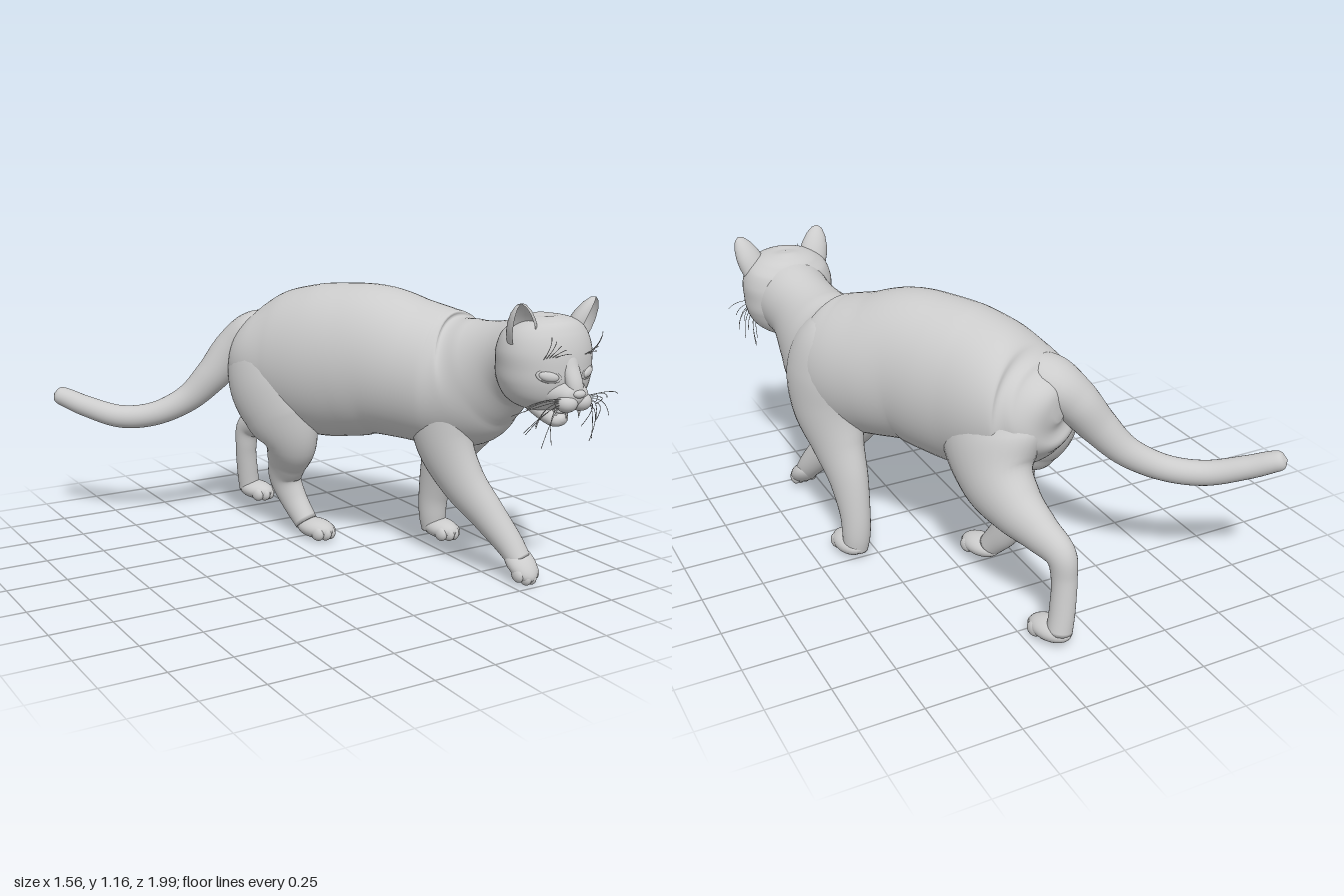
import * as THREE from 'three';

const V = (x, y, z) => new THREE.Vector3(x, y, z);
const UP = V(0, 1, 0);
const HEAD_X = 0.562;

// Smooth skin over elliptical stations [x, y, z, side radius, other radius]
function loft(stations, ref, rings = 64, sides = 40) {
  const path = new THREE.CatmullRomCurve3(stations.map(s => V(s[0], s[1], s[2])), false, 'catmullrom', 0.5);
  const radii = new THREE.CatmullRomCurve3(stations.map(s => V(s[3], s[4], 0)), false, 'catmullrom', 0.5);
  const pos = [], idx = [];
  for (let i = 0; i <= rings; i++) {
    const k = i / rings, c = path.getPoint(k), r = radii.getPoint(k), t = path.getTangent(k);
    const s = ref ? ref.clone().addScaledVector(t, -ref.dot(t)) : UP.clone().cross(t);
    s.normalize();
    const u = t.clone().cross(s);
    for (let j = 0; j < sides; j++) {
      const a = (j / sides) * Math.PI * 2;
      const p = c.clone().addScaledVector(s, Math.cos(a) * r.x).addScaledVector(u, Math.sin(a) * r.y);
      pos.push(p.x, p.y, p.z);
      const n = (j + 1) % sides, q = i * sides;
      if (i < rings) idx.push(q + j, q + n, q + sides + n, q + j, q + sides + n, q + sides + j);
    }
  }
  // end caps
  const first = stations[0], last = stations[stations.length - 1], c0 = pos.length / 3;
  pos.push(first[0], first[1], first[2], last[0], last[1], last[2]);
  for (let j = 0; j < sides; j++) {
    const n = (j + 1) % sides, q = rings * sides;
    idx.push(c0, n, j, c0 + 1, q + j, q + n);
  }
  const g = new THREE.BufferGeometry();
  g.setAttribute('position', new THREE.Float32BufferAttribute(pos, 3));
  g.setIndex(idx);
  g.computeVertexNormals();
  return g;
}

export function createModel() {
  const model = new THREE.Group();
  model.name = 'bigCat';
  const skin = new THREE.MeshStandardMaterial({ color: 0xcccccc, roughness: 0.8 });
  const thin = new THREE.MeshStandardMaterial({ color: 0xcccccc, roughness: 0.8, side: THREE.DoubleSide });

  const add = (name, geometry, parent = model, material = skin) => {
    const m = new THREE.Mesh(geometry, material);
    m.name = name;
    parent.add(m);
    return m;
  };
  const ball = (name, parent, p, r, detail = 24) => {
    const m = add(name, new THREE.SphereGeometry(1, detail, Math.round(detail * 0.7)), parent);
    m.position.set(...p);
    m.scale.set(...r);
    return m;
  };

  // Trunk and neck, from rump to skull
  add('body', loft([
    [0.0, 0.80, -0.60, 0.03, 0.04], [0.01, 0.80, -0.575, 0.12, 0.12],
    [0.025, 0.79, -0.53, 0.19, 0.18], [0.05, 0.78, -0.46, 0.232, 0.24],
    [0.105, 0.78, -0.36, 0.25, 0.295], [0.17, 0.785, -0.22, 0.255, 0.325],
    [0.24, 0.80, -0.10, 0.255, 0.325], [0.31, 0.81, 0.01, 0.25, 0.315],
    [0.40, 0.785, 0.13, 0.25, 0.295], [0.475, 0.765, 0.25, 0.24, 0.285],
    [0.515, 0.775, 0.36, 0.21, 0.27], [0.535, 0.82, 0.46, 0.178, 0.222],
    [0.55, 0.872, 0.57, 0.15, 0.172], [0.56, 0.90, 0.66, 0.153, 0.163],
    [0.562, 0.91, 0.73, 0.168, 0.165], [0.562, 0.92, 0.78, 0.13, 0.13],
  ], null, 110, 56));

  // Tail sweeping down and out to the right
  add('tail', loft([
    [0.05, 0.90, -0.38, 0.07, 0.08], [-0.02, 0.875, -0.48, 0.115, 0.1], [-0.10, 0.80, -0.54, 0.095, 0.09],
    [-0.185, 0.69, -0.58, 0.073, 0.075],
    [-0.28, 0.585, -0.635, 0.057, 0.06], [-0.41, 0.515, -0.705, 0.051, 0.052], [-0.54, 0.50, -0.79, 0.049, 0.05],
    [-0.66, 0.54, -0.885, 0.047, 0.046], [-0.73, 0.575, -0.945, 0.044, 0.042],
    [-0.76, 0.587, -0.972, 0.034, 0.034], [-0.772, 0.593, -0.983, 0.004, 0.004],
  ], null, 76, 28));

  // Legs: shoulder or hip down to the ankle
  const across = V(0.88, 0, -0.47), nearlyX = V(0.98, 0, -0.2);
  const legs = {
    leftFrontLeg: [across, [
      [0.51, 0.99, 0.19, 0.05, 0.07], [0.55, 0.89, 0.205, 0.115, 0.165], [0.587, 0.75, 0.22, 0.128, 0.2],
      [0.605, 0.61, 0.205, 0.11, 0.178], [0.597, 0.47, 0.145, 0.087, 0.127], [0.585, 0.34, 0.08, 0.07, 0.092],
      [0.58, 0.20, 0.038, 0.058, 0.068], [0.582, 0.10, 0.027, 0.055, 0.06], [0.588, 0.03, 0.03, 0.048, 0.053]]],
    rightFrontLeg: [nearlyX, [
      [0.46, 0.97, 0.24, 0.05, 0.06], [0.435, 0.86, 0.27, 0.112, 0.14], [0.418, 0.70, 0.31, 0.108, 0.165],
      [0.407, 0.53, 0.345, 0.092, 0.138], [0.445, 0.375, 0.425, 0.08, 0.102], [0.505, 0.25, 0.52, 0.068, 0.075],
      [0.55, 0.15, 0.60, 0.058, 0.058], [0.572, 0.08, 0.655, 0.05, 0.045]]],
    leftHindLeg: [across, [
      [0.12, 0.95, -0.36, 0.05, 0.07], [0.16, 0.83, -0.39, 0.125, 0.18], [0.193, 0.67, -0.43, 0.148, 0.215],
      [0.21, 0.54, -0.51, 0.125, 0.165], [0.19, 0.46, -0.62, 0.10, 0.118], [0.155, 0.405, -0.74, 0.072, 0.082],
      [0.125, 0.357, -0.84, 0.055, 0.062], [0.118, 0.26, -0.862, 0.047, 0.05],
      [0.13, 0.14, -0.875, 0.047, 0.05], [0.145, 0.045, -0.882, 0.05, 0.05]]],
    rightHindLeg: [across, [
      [0.05, 0.95, -0.36, 0.05, 0.06], [0.005, 0.84, -0.37, 0.13, 0.18], [-0.02, 0.70, -0.34, 0.138, 0.205],
      [-0.005, 0.56, -0.28, 0.12, 0.18], [0.02, 0.44, -0.255, 0.09, 0.132], [0.04, 0.33, -0.315, 0.063, 0.095],
      [0.053, 0.245, -0.352, 0.053, 0.078], [0.075, 0.155, -0.318, 0.049, 0.064], [0.10, 0.06, -0.245, 0.05, 0.05]]],
  };
  for (const [name, [ref, stations]] of Object.entries(legs)) add(name, loft(stations, ref, 64, 32));

  // Paws with four soft toes each: position, yaw, pitch
  const paws = {
    leftFrontPaw: [0.598, 0.044, 0.07, 0.1, 0],
    rightFrontPaw: [0.572, 0.075, 0.66, 0, 0.62],
    leftHindPaw: [0.16, 0.044, -0.84, 0.3, 0],
    rightHindPaw: [0.122, 0.044, -0.2, 0.3, 0],
  };
  for (const [name, [x, y, z, yaw, pitch]] of Object.entries(paws)) {
    const paw = new THREE.Group();
    paw.name = name;
    paw.position.set(x, y, z);
    paw.rotation.set(pitch, yaw, 0, 'YXZ');
    model.add(paw);
    ball('pad', paw, [0, 0, 0], [0.062, 0.043, 0.096]);
    [-1.5, -0.5, 0.5, 1.5].forEach(k =>
      ball('toe', paw, [k * 0.025, -0.01, 0.068 - k * k * 0.01], [0.021, 0.031, 0.034], 16));
  }

  // Head: skull stacked from throat to crown, then bridge, muzzle and open jaw
  const head = new THREE.Group();
  head.name = 'head';
  head.position.x = HEAD_X;
  model.add(head);
  add('skull', loft([
    [0, 0.735, 0.75, 0.03, 0.03], [0, 0.748, 0.75, 0.095, 0.10], [0, 0.79, 0.752, 0.152, 0.145],
    [0, 0.85, 0.757, 0.181, 0.168], [0, 0.91, 0.758, 0.188, 0.17], [0, 0.97, 0.757, 0.189, 0.163],
    [0, 1.03, 0.752, 0.168, 0.143], [0, 1.068, 0.747, 0.125, 0.11], [0, 1.088, 0.745, 0.07, 0.065],
    [0, 1.094, 0.745, 0.008, 0.008],
  ], V(1, 0, 0), 80, 48), head);
  add('noseBridge', loft([
    [0, 1.03, 0.835, 0.035, 0.02], [0, 0.965, 0.887, 0.04, 0.027], [0, 0.91, 0.914, 0.036, 0.028],
    [0, 0.86, 0.94, 0.034, 0.028], [0, 0.815, 0.957, 0.026, 0.02]], V(1, 0, 0), 32, 24), head);
  add('muzzle', loft([
    [0, 0.825, 0.82, 0.12, 0.07], [0, 0.822, 0.88, 0.098, 0.062], [0, 0.818, 0.925, 0.072, 0.05],
    [0, 0.812, 0.96, 0.05, 0.036], [0, 0.81, 0.975, 0.008, 0.008]], null, 32, 32), head);
  ball('nose', head, [0, 0.828, 0.969], [0.027, 0.016, 0.018]);
  add('lowerJaw', loft([
    [0, 0.80, 0.70, 0.08, 0.05], [0, 0.755, 0.77, 0.08, 0.045], [0, 0.72, 0.83, 0.056, 0.038],
    [0, 0.712, 0.865, 0.043, 0.03], [0, 0.715, 0.887, 0.008, 0.008]], null, 28, 24), head);
  ball('tongue', head, [0, 0.745, 0.85], [0.026, 0.012, 0.045], 16);

  // Thin tapering ear shell, open to the front
  const earProfile = [[0.06, -0.05], [0.062, 0.02], [0.056, 0.06], [0.042, 0.10], [0.022, 0.13], [0.001, 0.14]]
    .map(p => new THREE.Vector2(...p));
  for (const s of [-1, 1]) {
    const side = s > 0 ? 'left' : 'right';
    const ear = add(side + 'Ear', new THREE.LatheGeometry(earProfile, 28, 0.85, Math.PI * 2 - 1.7), head, thin);
    ear.position.set(s * 0.132, 1.03, 0.79);
    ear.scale.set(0.95, 1, 0.75);
    ear.rotation.set(0.42, s * 0.35, -s * 0.2, 'YXZ');

    ball(side + 'MuzzlePad', head, [s * 0.033, 0.792, 0.938], [0.043, 0.036, 0.042]);

    // almond eye between soft lids
    const eye = new THREE.Group();
    eye.name = side + 'Eye';
    eye.position.set(s * 0.09, 0.89, 0.9);
    eye.rotation.set(-0.1, s * 0.45, s * 0.2, 'YXZ');
    head.add(eye);
    ball('eyeball', eye, [0, 0, 0], [0.04, 0.02, 0.017]);
    add('eyelids', new THREE.TorusGeometry(0.042, 0.007, 8, 28), eye).scale.set(1, 0.52, 1);
    ball(side + 'Brow', head, [s * 0.085, 0.94, 0.878], [0.058, 0.026, 0.024]).rotation.set(0, s * 0.45, s * 0.2);

    // canine teeth
    const upper = add('upperCanine', new THREE.ConeGeometry(0.009, 0.045, 10), head);
    upper.position.set(s * 0.03, 0.748, 0.938);
    upper.rotation.x = Math.PI;
    add('lowerCanine', new THREE.ConeGeometry(0.008, 0.035, 10), head).position.set(s * 0.024, 0.748, 0.868);

    // drooping muzzle whiskers and short brow whiskers
    const hair = (name, a, b, c) => add(name, new THREE.TubeGeometry(
      new THREE.QuadraticBezierCurve3(V(...a), V(...b), V(...c)), 8, 0.0014, 3), head, thin);
    for (let i = 0; i < 10; i++) {
      const k = i / 9, reach = 0.215 - 0.10 * k * k - 0.02 * (i % 3);
      hair(side + 'Whisker', [s * 0.06, 0.81 - 0.03 * k, 0.945 - 0.01 * (i % 2)],
        [s * (0.07 + reach * 0.45), 0.83 - 0.06 * k, 0.97 - 0.02 * (i % 3)],
        [s * reach, 0.80 - 0.18 * k, 0.94 - 0.035 * (i % 4)]);
    }
    for (let i = 0; i < 5; i++)
      hair(side + 'BrowWhisker', [s * (0.07 + 0.01 * i), 0.95, 0.89],
        [s * (0.07 + 0.012 * i), 0.98 + 0.008 * i, 0.95], [s * (0.06 + 0.015 * i), 0.985 + 0.015 * i, 0.985 - 0.01 * i]);
  }
  return model;
}
